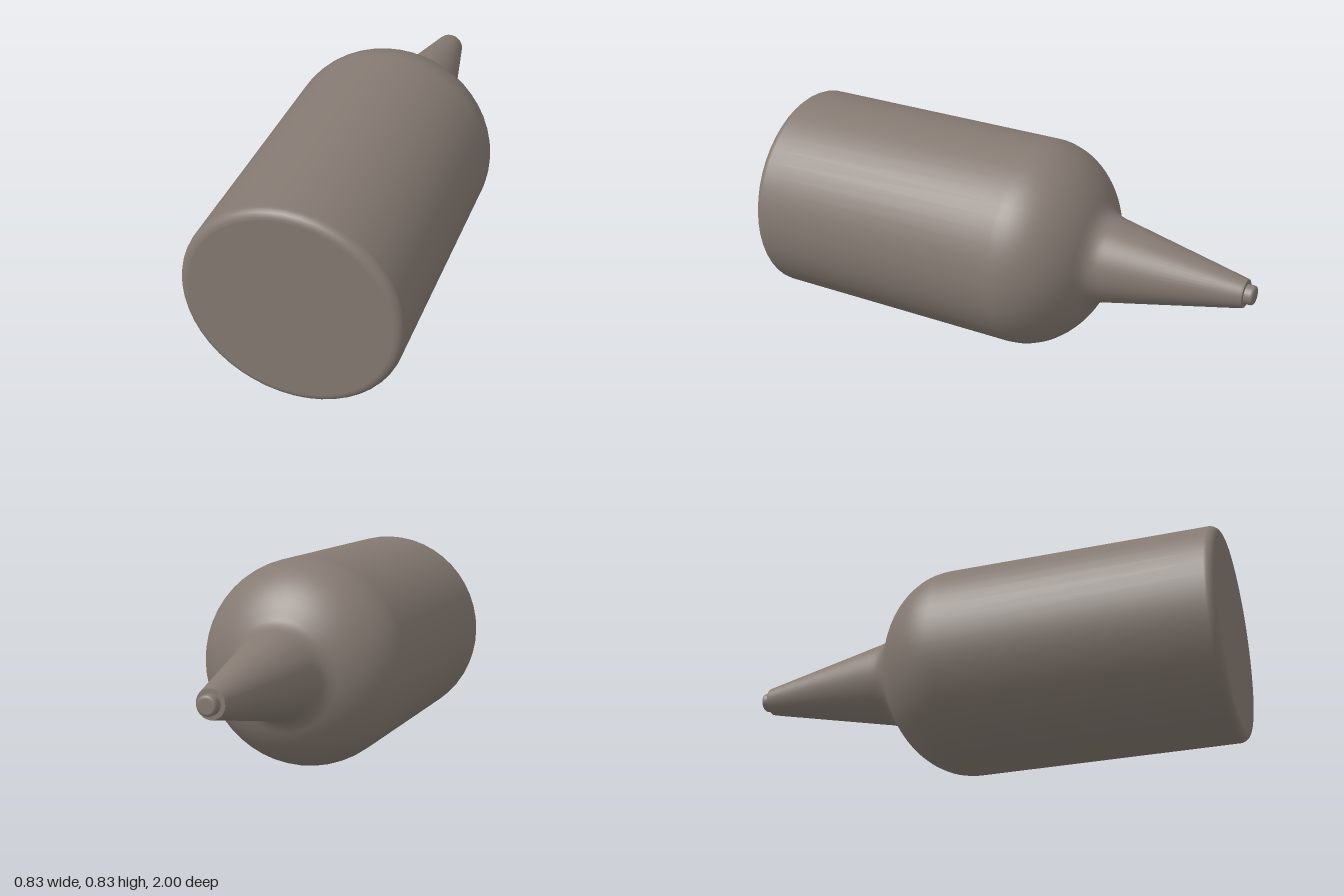
import * as THREE from 'three';

const RADIUS = 0.417;
const SIDES = 48;

// Points along an elliptical arc: [radius, distance along the axis]
function arc(cr, ct, ar, at, from, to, steps) {
  const pts = [];
  for (let i = 0; i <= steps; i++) {
    const a = from + (to - from) * i / steps;
    pts.push([cr + ar * Math.cos(a), ct + at * Math.sin(a)]);
  }
  return pts;
}

export function createModel() {
  const group = new THREE.Group();
  group.name = 'nozzleBottle';
  const plastic = new THREE.MeshStandardMaterial({ color: 0x857a72 });
  plastic.name = 'warm grey plastic';

  // Turned part, with its axis laid along -z
  function turned(name, profile) {
    const points = profile.map(([r, t]) => new THREE.Vector2(Math.max(r, 0), t));
    const geometry = new THREE.LatheGeometry(points, SIDES);
    geometry.rotateX(-Math.PI / 2);
    geometry.translate(0, RADIUS, 0);
    const mesh = new THREE.Mesh(geometry, plastic);
    mesh.name = name;
    group.add(mesh);
  }

  // Flat base
  turned('base', [[0, -1], [RADIUS - 0.035, -1]]);

  // Body with rounded bottom edge, domed shoulder and flared neck
  turned('body', [
    ...arc(RADIUS - 0.035, -0.965, 0.035, 0.035, -Math.PI / 2, 0, 6),
    ...arc(0, 0.08, RADIUS, 0.33, 0, 1.06, 14),
    [0.187, 0.385], [0.176, 0.402], [0.169, 0.425], [0.163, 0.455],
    [0.058, 0.955], [0.055, 0.964],
  ]);

  // Flat end of the nozzle
  turned('nozzleEnd', [[0.055, 0.964], [0, 0.966]]);

  // Small rounded tip
  turned('nozzleTip', [
    [0.038, 0.962],
    ...arc(0.026, 0.988, 0.012, 0.012, 0, Math.PI / 2, 5),
    [0, 1],
  ]);

  return group;
}
